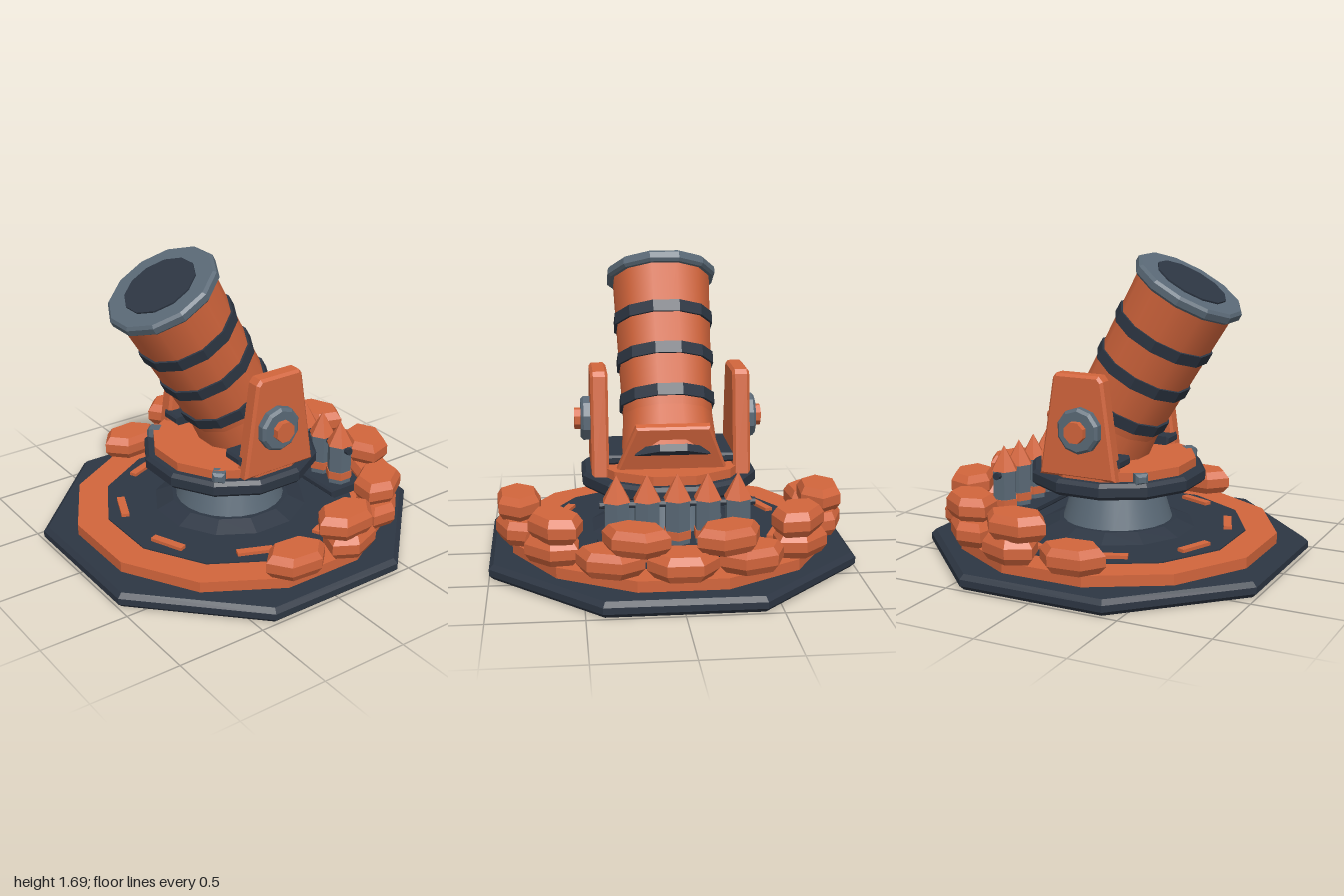
import * as THREE from 'three';

const mat = (name, color) => {
  const m = new THREE.MeshStandardMaterial({ color });
  m.name = name;
  return m;
};

export function createModel() {
  const orange = mat('burnt orange', 0xd2653c);
  const dark = mat('dark slate', 0x2d3643);
  const grey = mat('steel grey', 0x5a6976);
  const root = new THREE.Group();
  root.name = 'mortar';

  const add = (name, geo, material, pos = [0, 0, 0], parent = root) => {
    const m = new THREE.Mesh(geo, material);
    m.name = name;
    m.position.set(...pos);
    parent.add(m);
    return m;
  };
  const facet = (geo) => {
    const g = geo.index ? geo.toNonIndexed() : geo;
    g.computeVertexNormals();
    return g;
  };
  // Faceted solid of n sides; profile radii run to the middle of each flat side
  const prism = (n, profile) => {
    const k = 1 / Math.cos(Math.PI / n);
    const pts = profile.map(([r, y]) => new THREE.Vector2(r * k, y));
    return facet(new THREE.LatheGeometry(pts, n).rotateY(Math.PI / n));
  };
  const disc = (n, r, y0, y1, bevel = 0) => prism(n, bevel
    ? [[0, y0], [r - bevel, y0], [r, y0 + bevel], [r, y1 - bevel], [r - bevel, y1], [0, y1]]
    : [[0, y0], [r, y0], [r, y1], [0, y1]]);
  // Smooth tapered tube without ends
  const taper = (rTop, rBottom, y0, y1, n) => {
    const k = 1 / Math.cos(Math.PI / n);
    return new THREE.CylinderGeometry(rTop * k, rBottom * k, y1 - y0, n, 1, true)
      .rotateY(Math.PI / n).translate(0, (y0 + y1) / 2, 0);
  };
  // Bevelled flat plate, outline in x/y, thickness along z
  const plate = (outline, thick, bevel) => {
    const s = new THREE.Shape(outline.map(([x, y]) => new THREE.Vector2(x, y)));
    return facet(new THREE.ExtrudeGeometry(s, {
      depth: thick - 2 * bevel, bevelThickness: bevel, bevelSize: bevel, bevelOffset: -bevel, bevelSegments: 1,
    }).translate(0, 0, bevel - thick / 2));
  };
  const slab = (w, h, d, bevel) => plate(
    [[-w / 2, -h / 2], [w / 2, -h / 2], [w / 2, h / 2], [-w / 2, h / 2]], d, bevel);

  // Ground platform
  add('basePlate', disc(8, 1, 0, 0.085, 0.025), dark);
  add('platformRing', disc(12, 0.875, 0.08, 0.145), orange);
  add('platformDeck', disc(12, 0.705, 0.14, 0.152), dark);
  add('pedestalFoot', prism(12, [[0.43, 0.15], [0.33, 0.195], [0, 0.2]]), dark);
  add('pedestal', taper(0.24, 0.31, 0.19, 0.42, 24), grey);
  for (let i = 0; i < 8; i++) {
    const a = (i + 0.5) * Math.PI / 4;
    add('deckStrip', new THREE.BoxGeometry(0.2, 0.025, 0.045), orange,
      [0.625 * Math.sin(a), 0.158, 0.625 * Math.cos(a)]).rotation.y = a;
  }

  // Two layers of sandbags around the back
  const bagGeo = facet(new THREE.LatheGeometry([
    [0, 0], [0.8, 0], [1, 0.04], [1, 0.095], [0.8, 0.135], [0, 0.135],
  ].map(([r, y]) => new THREE.Vector2(r, y)), 6).rotateY(Math.PI / 2).scale(0.185, 1, 0.128));
  const bag = (deg, y, yaw) => {
    const a = deg * Math.PI / 180;
    add('sandbag', bagGeo, orange, [0.855 * Math.sin(a), y, -0.855 * Math.cos(a)]).rotation.y = -a + yaw;
  };
  for (let i = -4; i <= 4; i++) bag(i * 25.3, 0.155, 0.12 * Math.sign(i));
  for (const s of [-1, 1]) [16, 48.5, 79].forEach((deg) => bag(s * deg, 0.282, -0.12 * s));

  // Ammunition rack
  add('rackTray', slab(0.84, 0.045, 0.27, 0.012), dark, [0, 0.213, -0.565]);
  add('rackRod', facet(new THREE.CylinderGeometry(0.022, 0.022, 0.82, 8).rotateZ(Math.PI / 2)),
    dark, [0, 0.45, -0.555]);
  const hex = (rt, rb, h) => facet(new THREE.CylinderGeometry(rt, rb, h, 6));
  for (let i = -2; i <= 2; i++) {
    const shell = new THREE.Group();
    shell.name = 'shell';
    shell.position.set(i * 0.16, 0.235, -0.555);
    root.add(shell);
    add('shellBody', hex(0.072, 0.072, 0.24), grey, [0, 0.12, 0], shell);
    add('shellBand', hex(0.078, 0.078, 0.045), orange, [0, 0.05, 0], shell);
    add('shellTip', hex(0, 0.08, 0.14), orange, [0, 0.305, 0], shell);
  }

  // Turntable
  add('turntable', disc(12, 0.482, 0.415, 0.505, 0.02), dark);
  add('turntableTop', disc(12, 0.43, 0.5, 0.555), orange);

  // Carriage sides with trunnions, mirrored
  const cheek = plate([[-0.26, 0.51], [0.2, 0.51], [0.125, 1.045], [0.1, 1.075], [-0.155, 1.075], [-0.175, 1.05]],
    0.095, 0.015).rotateY(-Math.PI / 2);
  for (const s of [-1, 1]) {
    add('carriageCheek', cheek, orange, [s * 0.388, 0, 0]);
    add('cheekRail', slab(0.14, 0.05, 0.43, 0.012), dark, [s * 0.31, 0.595, -0.015]);
    add('trunnionCap', disc(10, 0.12, -0.035, 0.035, 0.015), grey, [s * 0.452, 0.78, 0]).rotation.z = -s * Math.PI / 2;
    add('trunnionBolt', disc(8, 0.056, -0.03, 0.03), orange, [s * 0.492, 0.78, 0]).rotation.z = -s * Math.PI / 2;
    add('frontClamp', slab(0.07, 0.06, 0.09, 0.015), grey, [s * 0.325, 0.525, 0.295]).rotation.y = s * Math.PI / 4;
  }

  // Leaning back plate
  add('backPlate', plate([[-0.3, 0], [0.3, 0], [0.2, 0.27], [-0.2, 0.27]], 0.06, 0.012),
    orange, [0, 0.55, -0.245]).rotation.x = -0.29;

  // Barrel, built along y and tilted forward about the trunnions
  const barrel = new THREE.Group();
  barrel.name = 'barrel';
  barrel.position.y = 0.78;
  barrel.rotation.x = Math.PI / 6;
  root.add(barrel);
  const at = [0, 0, 0];
  add('barrelTube', taper(0.274, 0.245, 0, 0.84, 12), orange, at, barrel);
  add('breech', taper(0.245, 0.265, -0.25, 0, 12), orange, at, barrel);
  add('breechCap', disc(12, 0.275, -0.275, -0.235), dark, at, barrel);
  [[0.08, 0.262], [0.32, 0.269], [0.56, 0.277]].forEach(([y, r]) =>
    add('barrelBand', disc(12, r, y - 0.033, y + 0.033), dark, at, barrel));
  add('muzzleRing', disc(12, 0.307, 0.815, 0.88, 0.015), grey, at, barrel);
  add('bore', disc(12, 0.2, 0.87, 0.889), dark, at, barrel);

  return root;
}
